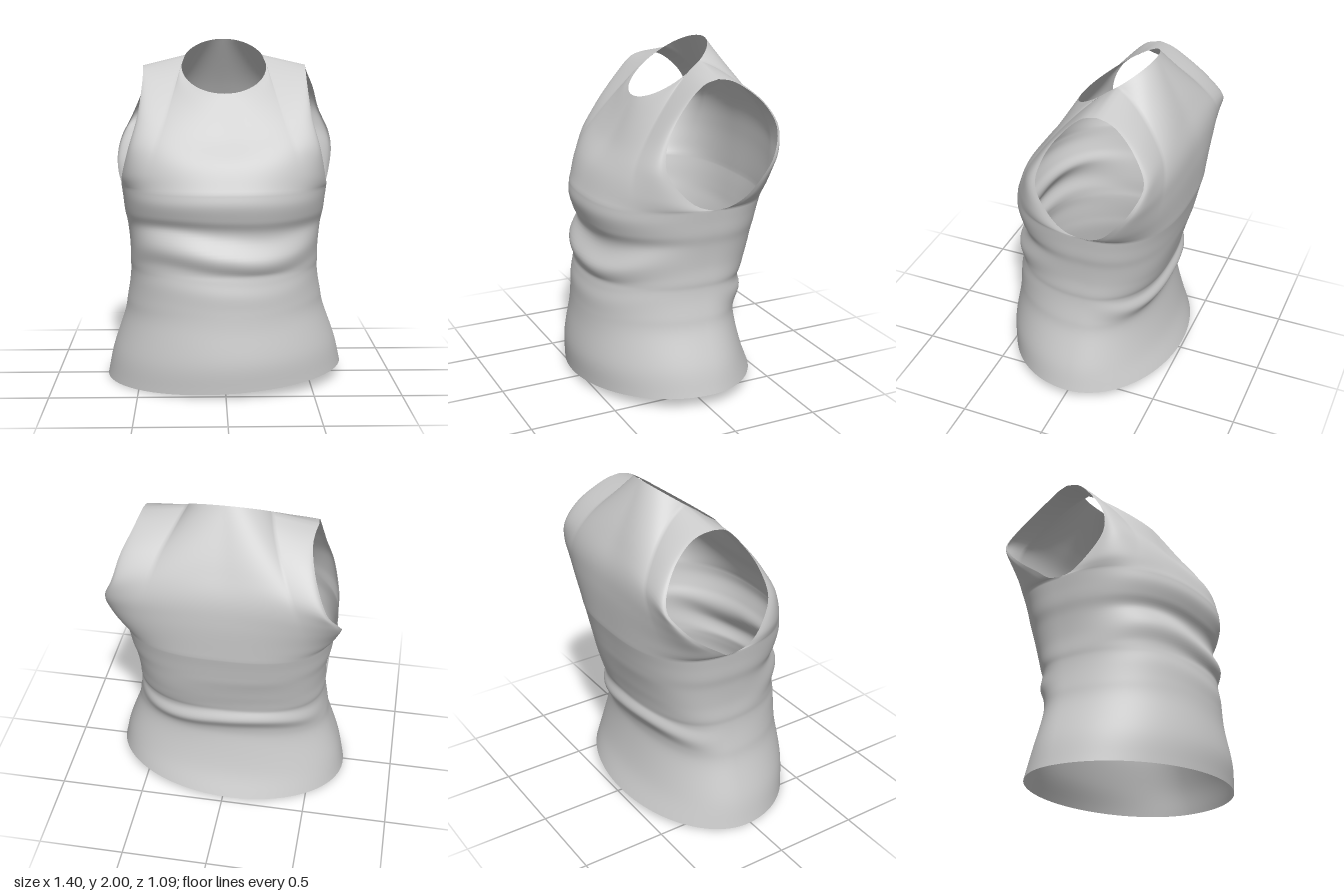
import * as THREE from 'three';
import { mergeVertices } from 'three/addons/utils/BufferGeometryUtils.js';

const V = (x, y, z) => new THREE.Vector3(x, y, z);
const curve = (pts) => new THREE.CatmullRomCurve3(pts.map((p) => V(...p)));
const { lerp } = THREE.MathUtils;

// Torso sections from hem to armpit: height, half width, front depth, back depth
const SECTIONS = [
  [0.04, 0.70, 0.545, -0.505], [0.2, 0.665, 0.55, -0.44], [0.4, 0.597, 0.52, -0.395],
  [0.5, 0.578, 0.51, -0.395], [0.59, 0.563, 0.505, -0.44], [0.66, 0.557, 0.49, -0.42],
  [0.71, 0.56, 0.483, -0.43], [0.8, 0.56, 0.505, -0.455], [0.92, 0.573, 0.443, -0.485],
  [1.0, 0.59, 0.47, -0.5], [1.08, 0.6, 0.49, -0.515], [1.15, 0.61, 0.48, -0.53],
];
const widthCurve = new THREE.CatmullRomCurve3(SECTIONS.map(([y, w]) => V(w, y, 0)), false, 'catmullrom');
const depthCurve = new THREE.CatmullRomCurve3(SECTIONS.map(([, , f, b]) => V(f, b, 0)), false, 'catmullrom');

// Armhole edges from armpit to shoulder tip, and centre lines from chest to neckline
const PIT = [0.61, 1.15, -0.08];
const PIT_R = [-0.61, 1.15, -0.08];
const TIP = [0.485, 1.848, -0.14];
const TIP_R = [-0.48, 1.845, -0.14];
const PANELS = {
  front: {
    sign: 1,
    left: curve([PIT, [0.605, 1.16, -0.01], [0.59, 1.21, 0.08], [0.55, 1.38, 0.2], [0.505, 1.55, 0.165],
      [0.485, 1.73, 0.045], [0.482, 1.825, -0.06], TIP]),
    right: curve([PIT_R, [-0.605, 1.16, -0.01], [-0.6, 1.21, 0.07], [-0.555, 1.38, 0.18], [-0.505, 1.55, 0.15],
      [-0.48, 1.73, 0.035], [-0.475, 1.825, -0.06], TIP_R]),
    centre: curve([[0, 1.15, 0.48], [0, 1.3, 0.41], [0, 1.45, 0.29], [0, 1.69, 0.15]]),
  },
  back: {
    sign: -1,
    left: curve([PIT, [0.622, 1.158, -0.14], [0.645, 1.21, -0.23], [0.67, 1.33, -0.33], [0.66, 1.43, -0.4],
      [0.6, 1.57, -0.45], [0.56, 1.7, -0.39], [0.51, 1.8, -0.28], [0.493, 1.836, -0.21], TIP]),
    right: curve([PIT_R, [-0.622, 1.158, -0.14], [-0.64, 1.21, -0.21], [-0.65, 1.3, -0.33], [-0.63, 1.4, -0.43],
      [-0.575, 1.51, -0.495], [-0.5, 1.68, -0.41], [-0.465, 1.8, -0.28], [-0.47, 1.834, -0.21], TIP_R]),
    centre: curve([[0, 1.15, -0.53], [0, 1.4, -0.54], [0, 1.55, -0.525], [0, 1.7, -0.46], [0, 2.0, -0.29]]),
  },
};

// Rounded half section of the torso; v runs from hem (0) to armpit (1)
function torsoPoint(panel, u, v) {
  const { x: w, y } = widthCurve.getPoint(v);
  // Cloth folds wander up and down around the waist
  const wander = 0.035 * Math.sin(Math.PI * v) ** 2 * Math.sin(5 * u + 0.6 * panel.sign);
  const depth = depthCurve.getPoint(v + wander);
  const seam = lerp(-0.03, PIT[2], v);
  const power = 2 / lerp(2, panel.sign > 0 ? 2.4 : 2.7, v);
  const t = Math.abs(u) * Math.PI / 2;
  const x = Math.sign(u) * w * Math.sin(t) ** power;
  const reach = (panel.sign > 0 ? depth.x : depth.y) - seam;
  const z = seam + reach * Math.max(0, Math.cos(t)) ** power;
  // The hem hangs lower on the right and at the front
  const sag = (0.055 * x - 0.02 * z) * (1 - v) ** 2;
  return V(x, y + sag, z);
}

// Tilted oval neckline, continued along the shoulder seam to the armhole
const NECK_SHARE = 0.5;
const SEAM_ANGLE = 1.98;
function topPoint(panel, u) {
  const k = Math.abs(u) / NECK_SHARE;
  const a = lerp(panel.sign > 0 ? 0 : Math.PI, SEAM_ANGLE, Math.min(k, 1));
  const p = V(Math.sign(u) * 0.25 * Math.sin(a), 1.845 - 0.155 * Math.cos(a), -0.07 + 0.22 * Math.cos(a));
  if (k > 1) p.lerp(V(...(u > 0 ? TIP : TIP_R)), (Math.abs(u) - NECK_SHARE) / (1 - NECK_SHARE));
  return p;
}

// Smooth arc from neck centre to shoulder tip, which the yoke aims at before it meets the neckline
function arcPoint(panel, u) {
  const tip = V(...(u > 0 ? TIP : TIP_R));
  const p = panel.centre.getPoint(1).lerp(tip, Math.abs(u) ** 1.7);
  p.x = tip.x * Math.sin(Math.abs(u) * Math.PI / 2);
  return p;
}

// How far a guide curve bows away from its own chord
const bow = (guide, s) => guide.getPointAt(s).sub(guide.getPoint(0).lerp(guide.getPoint(1), s));

// Chest or back yoke: spans chest section to top edge, bowed by the guide curves
function yokePoint(panel, u, s) {
  const side = Math.abs(u) ** lerp(1.8, 1.2, s);
  const arc = arcPoint(panel, u);
  const toNeck = topPoint(panel, u).sub(arc);
  return torsoPoint(panel, u, 1).lerp(arc, s)
    .addScaledVector(toNeck, s ** 2.2)
    .addScaledVector(bow(u > 0 ? panel.left : panel.right, s), side)
    .addScaledVector(bow(panel.centre, s), 1 - side);
}

function createShirtGeometry() {
  const COLS = 64, TORSO_ROWS = 66, YOKE_ROWS = 36;
  const positions = [], index = [];
  for (const panel of Object.values(PANELS)) {
    const base = positions.length / 3;
    const rows = TORSO_ROWS + YOKE_ROWS;
    for (let j = 0; j <= rows; j++) {
      for (let i = 0; i <= COLS; i++) {
        const u = (i / COLS) * 2 - 1;
        const p = j <= TORSO_ROWS
          ? torsoPoint(panel, u, j / TORSO_ROWS)
          : yokePoint(panel, u, (j - TORSO_ROWS) / YOKE_ROWS);
        positions.push(p.x, p.y, p.z);
        if (i === COLS || j === rows) continue;
        const a = base + j * (COLS + 1) + i, b = a + 1, c = a + COLS + 1, d = c + 1;
        if (panel.sign > 0) index.push(a, b, d, a, d, c);
        else index.push(a, d, b, a, c, d);
      }
    }
  }
  let geometry = new THREE.BufferGeometry();
  geometry.setAttribute('position', new THREE.Float32BufferAttribute(positions, 3));
  geometry.setIndex(index);
  // Weld the side and shoulder seams so shading runs across them
  geometry = mergeVertices(geometry, 1e-4);
  geometry.computeVertexNormals();
  return geometry;
}

export function createModel() {
  const group = new THREE.Group();
  group.name = 'sleevelessTop';
  const material = new THREE.MeshStandardMaterial({ color: 0xcccccc, side: THREE.DoubleSide });
  const shirt = new THREE.Mesh(createShirtGeometry(), material);
  shirt.name = 'shirtBody';
  group.add(shirt);
  return group;
}
